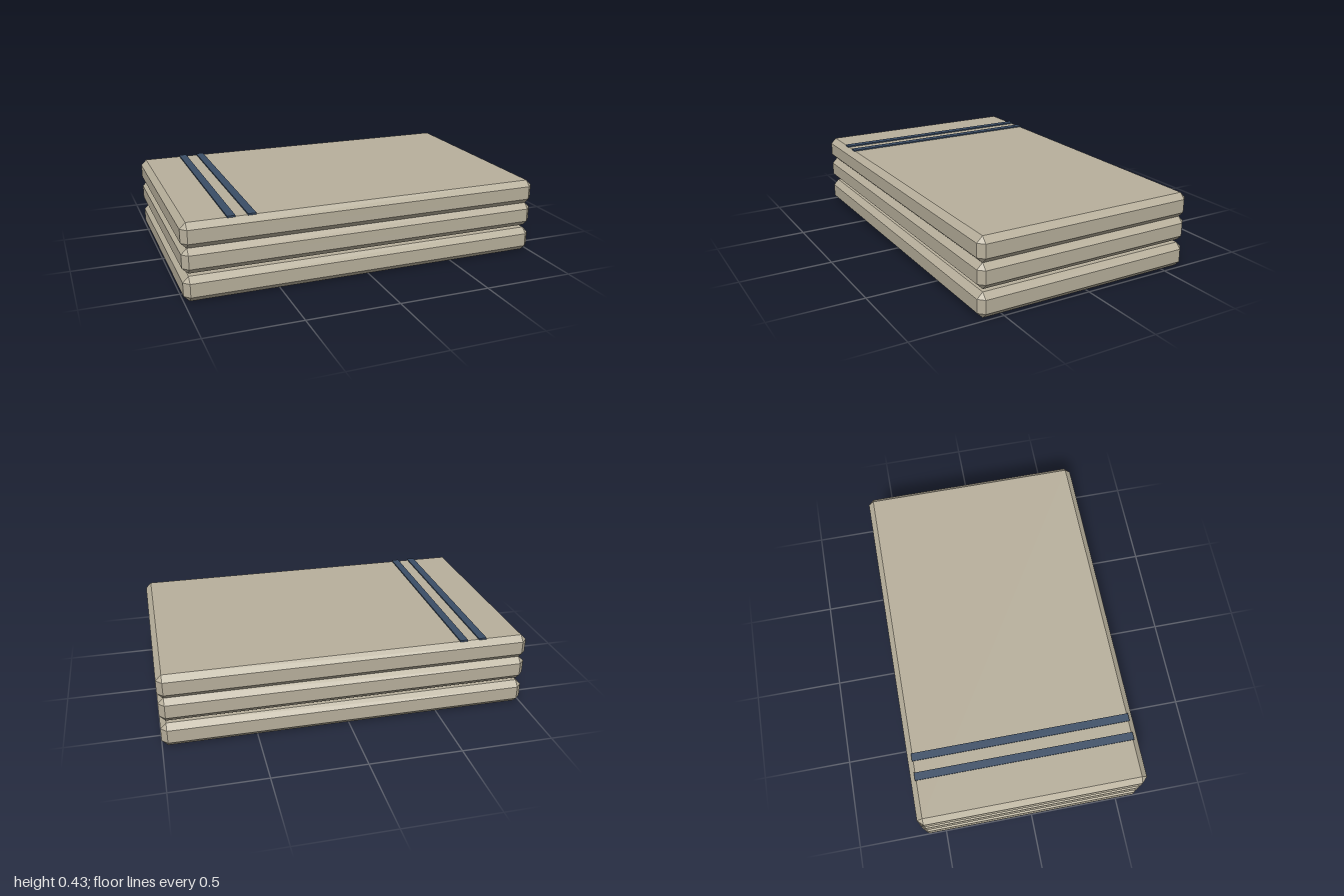
import * as THREE from 'three';
import { ConvexGeometry } from 'three/addons/geometries/ConvexGeometry.js';

// Box with every edge chamfered and a small triangle at each corner
function chamferedBox(w, h, d, c) {
  const half = [w / 2, h / 2, d / 2];
  const points = [];
  for (const sx of [-1, 1]) for (const sy of [-1, 1]) for (const sz of [-1, 1]) {
    const sign = [sx, sy, sz];
    for (let axis = 0; axis < 3; axis++) {
      points.push(new THREE.Vector3(...half.map((v, i) => sign[i] * (i === axis ? v : v - c))));
    }
  }
  return new ConvexGeometry(points);
}

export function createModel() {
  const cloth = new THREE.MeshStandardMaterial({ name: 'beige cloth', color: 0xb8b09c });
  const navy = new THREE.MeshStandardMaterial({ name: 'navy stripe', color: 0x3a4d66 });
  const model = new THREE.Group();
  model.name = 'foldedStack';

  // Three stacked layers
  const height = 0.135;
  const layerGeometry = chamferedBox(2, height, 1.26, 0.031);
  [['bottomLayer', 0], ['middleLayer', 0.15], ['topLayer', 0.283]].forEach(([name, y]) => {
    const layer = new THREE.Mesh(layerGeometry, cloth);
    layer.name = name;
    layer.position.y = y + height / 2;
    model.add(layer);
  });

  // Two thin stripes across the top layer
  const stripeGeometry = new THREE.BoxGeometry(0.043, 0.009, 1.21);
  [['outerStripe', -0.742], ['innerStripe', -0.635]].forEach(([name, x]) => {
    const stripe = new THREE.Mesh(stripeGeometry, navy);
    stripe.name = name;
    stripe.position.set(x, 0.421, 0);
    model.add(stripe);
  });

  return model;
}
